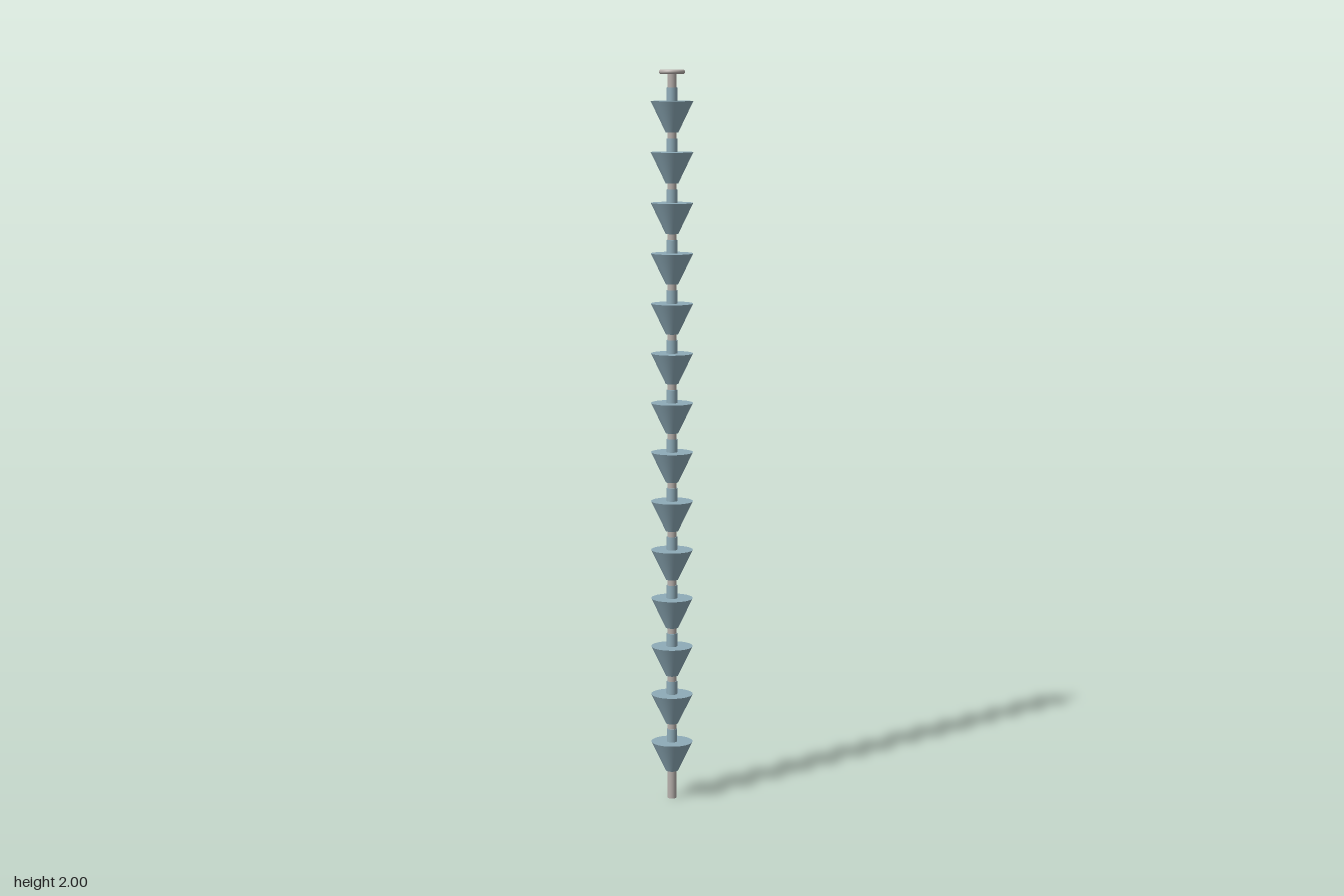
import * as THREE from 'three';

export function createModel() {
  const group = new THREE.Group();
  const steel = new THREE.MeshStandardMaterial({ color: 0xb5aeaa });
  const blue = new THREE.MeshStandardMaterial({ color: 0x8eabb8 });

  const add = (name, geometry, material, y) => {
    const mesh = new THREE.Mesh(geometry, material);
    mesh.name = name;
    mesh.position.y = y;
    group.add(mesh);
    return mesh;
  };

  // Central rod running the full height
  add('rod', new THREE.CylinderGeometry(0.0125, 0.0125, 1.995, 32), steel, 0.9975);

  // Flat ring around the top of the rod
  add('topRing', new THREE.TorusGeometry(0.029, 0.006, 16, 48), steel, 1.994).rotation.x = Math.PI / 2;

  // Stack of funnel cups, each with a short collar above it
  const count = 14, spacing = 0.1351, height = 0.083;
  const cup = new THREE.CylinderGeometry(0.057, 0.017, height, 48);
  const collar = new THREE.CylinderGeometry(0.0145, 0.0145, 0.037, 32);
  for (let i = 0; i < count; i++) {
    const top = 0.161 + i * spacing;
    add('cup' + (i + 1), cup, blue, top - height / 2);
    add('collar' + (i + 1), collar, blue, top + 0.0175);
  }
  return group;
}
